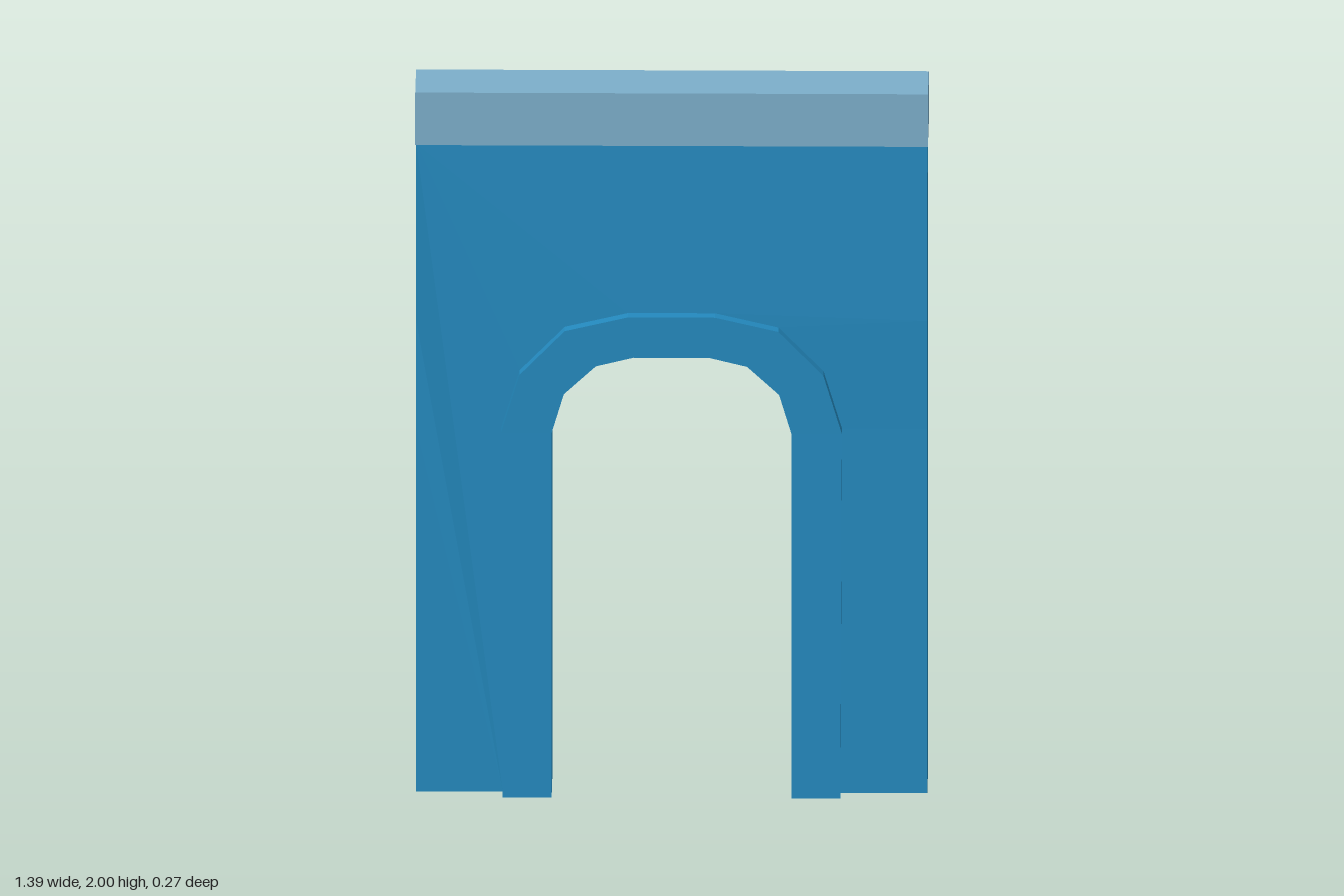
import * as THREE from 'three';

const mat = (name, color) => Object.assign(new THREE.MeshStandardMaterial({ color, flatShading: true }), { name });

// Right half of the arch, from the foot to the crown
const OUTER = [[0.458, 0], [0.462, 1.04], [0.412, 1.205], [0.29, 1.33], [0.118, 1.37]];
const INNER = [[0.325, 0], [0.325, 1.04], [0.292, 1.15], [0.205, 1.23], [0.103, 1.255]];
const mirrored = half => [...half, ...half.map(([x, y]) => [-x, y]).reverse()];

// Half thickness of the wall at each height
const THICK = [[0, 0.085], [1.04, 0.085], [1.35, 0.092], [1.85, 0.081]];
function halfThickness(y) {
  for (let i = 1; i < THICK.length; i++) {
    const [y0, t0] = THICK[i - 1], [y1, t1] = THICK[i];
    if (y <= y1) return THREE.MathUtils.lerp(t0, t1, (y - y0) / (y1 - y0));
  }
  return THICK[THICK.length - 1][1];
}

// Wall with the doorway cut out, its thickness varying with height
function wallGeometry() {
  const side = mirrored(THICK.map(([y]) => [-0.693, y]));
  const points = [...side, ...mirrored(OUTER)];
  const shape = new THREE.Shape(points.map(([x, y]) => new THREE.Vector2(x, y)));
  const geo = new THREE.ExtrudeGeometry(shape, { depth: 1, bevelEnabled: false });
  const p = geo.attributes.position;
  for (let i = 0; i < p.count; i++) p.setZ(i, (p.getZ(i) > 0.5 ? 1 : -1) * halfThickness(p.getY(i)));
  geo.computeVertexNormals();
  // The undersides of the feet take the second material
  geo.clearGroups();
  for (let i = 0; i < p.count; i += 3) {
    const foot = Math.max(p.getY(i), p.getY(i + 1), p.getY(i + 2)) < 1e-4;
    geo.addGroup(i, 3, foot ? 1 : 0);
  }
  return geo;
}

// Hollow arch trim: an open U section swept around the doorway
function trimGeometry() {
  const outer = mirrored(OUTER), inner = mirrored(INNER);
  const pos = [], index = [], n = 4;
  outer.forEach(([ox, oy], i) => {
    const [ix, iy] = inner[i];
    const z = oy === 0 ? 0.134 : 0.13, w = halfThickness(oy) - 0.004;
    pos.push(ox, oy, w, ox, oy, z, ix, iy, z, ix, iy, -z, ox, oy, -z, ox, oy, -w);
  });
  for (let i = 0; i < outer.length - 1; i++) {
    for (let j = 0; j <= n; j++) {
      const a = i * (n + 2) + j, b = a + n + 2;
      index.push(a, b, a + 1, b, b + 1, a + 1);
    }
  }
  const geo = new THREE.BufferGeometry();
  geo.setAttribute('position', new THREE.Float32BufferAttribute(pos, 3));
  geo.setIndex(index);
  const flat = geo.toNonIndexed();
  flat.computeVertexNormals();
  return flat;
}

export function createModel() {
  const blue = mat('wallBlue', 0x2389be);
  const trimBlue = mat('wallBlue', 0x2389be);
  trimBlue.side = THREE.DoubleSide;
  const pale = mat('copingBlue', 0x7caeca);
  const grey = mat('footGrey', 0xcccccc);

  const group = new THREE.Group();
  group.name = 'archway';
  const add = (name, geo, material) => {
    const mesh = new THREE.Mesh(geo, material);
    mesh.name = name;
    group.add(mesh);
    return mesh;
  };

  add('wall', wallGeometry(), [blue, grey]);
  add('archTrim', trimGeometry(), trimBlue);
  add('coping', new THREE.BoxGeometry(1.39, 0.15, 0.2), pale).position.y = 1.925;
  return group;
}
